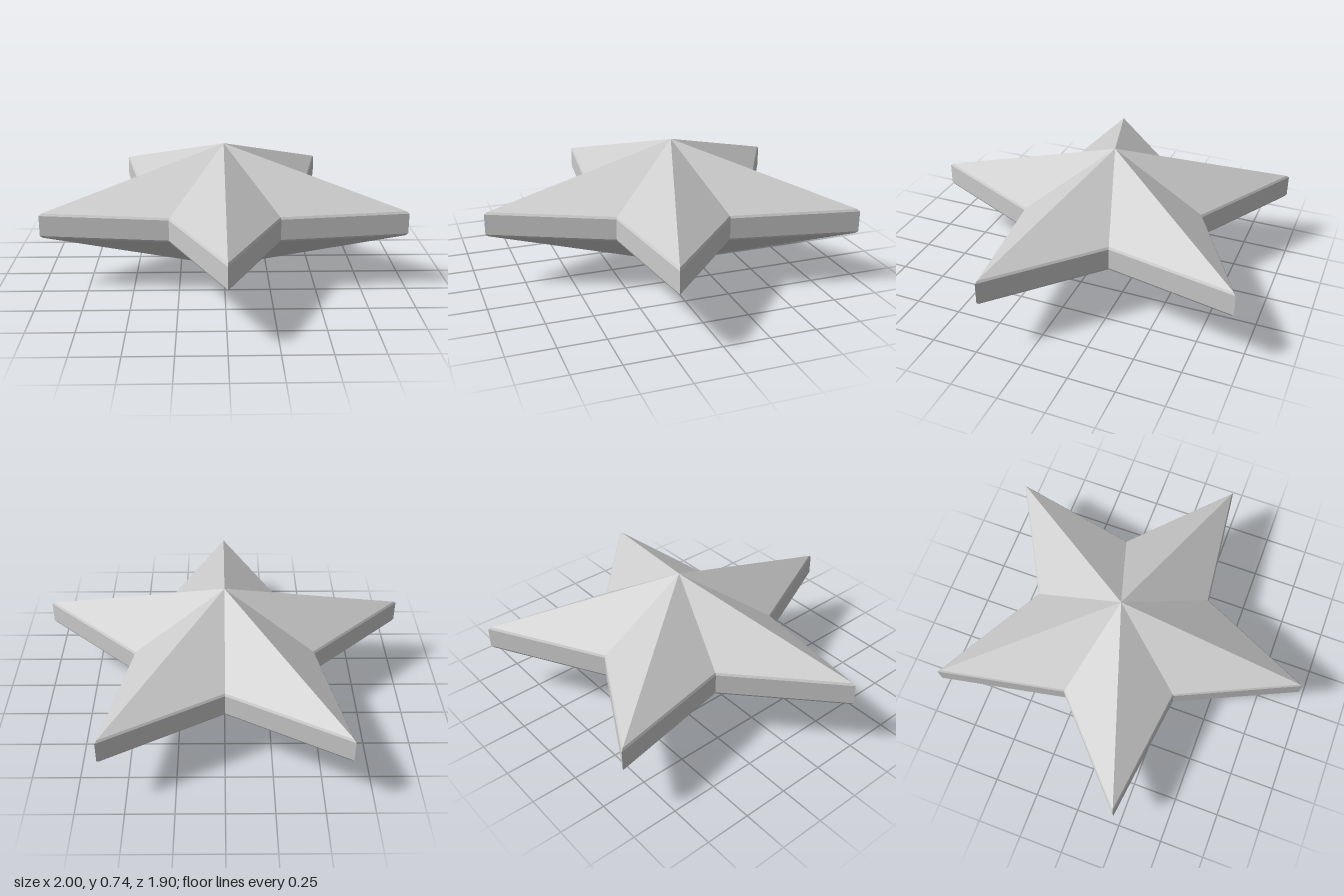
import * as THREE from 'three';

const TIP_RADIUS = 1.05;
const NOTCH_RATIO = 0.483;
const CENTRE_Z = -0.1;

// Half section of one point: apex, softened rim, apex
const PROFILE = [
  [0, 0], [0.985, 0.302], [1, 0.314], [1, 0.428], [0.985, 0.44], [0, 0.742],
].map(([r, y]) => new THREE.Vector2(r * TIP_RADIUS, y));

export function createModel() {
  const group = new THREE.Group();
  group.name = 'facetedStar';

  // Ten-sided lathe; every second spoke is pulled in to form the five notches
  const geometry = new THREE.LatheGeometry(PROFILE, 10);
  const pos = geometry.attributes.position;
  for (let i = 0; i < pos.count; i++) {
    const spoke = Math.floor(i / PROFILE.length);
    const k = spoke % 2 ? NOTCH_RATIO : 1;
    pos.setXYZ(i, pos.getX(i) * k, pos.getY(i), pos.getZ(i) * k + CENTRE_Z);
  }
  const faceted = geometry.toNonIndexed();
  faceted.computeVertexNormals();

  const star = new THREE.Mesh(
    faceted,
    new THREE.MeshStandardMaterial({ color: 0xcccccc, flatShading: true }),
  );
  star.name = 'starBody';
  group.add(star);
  return group;
}
